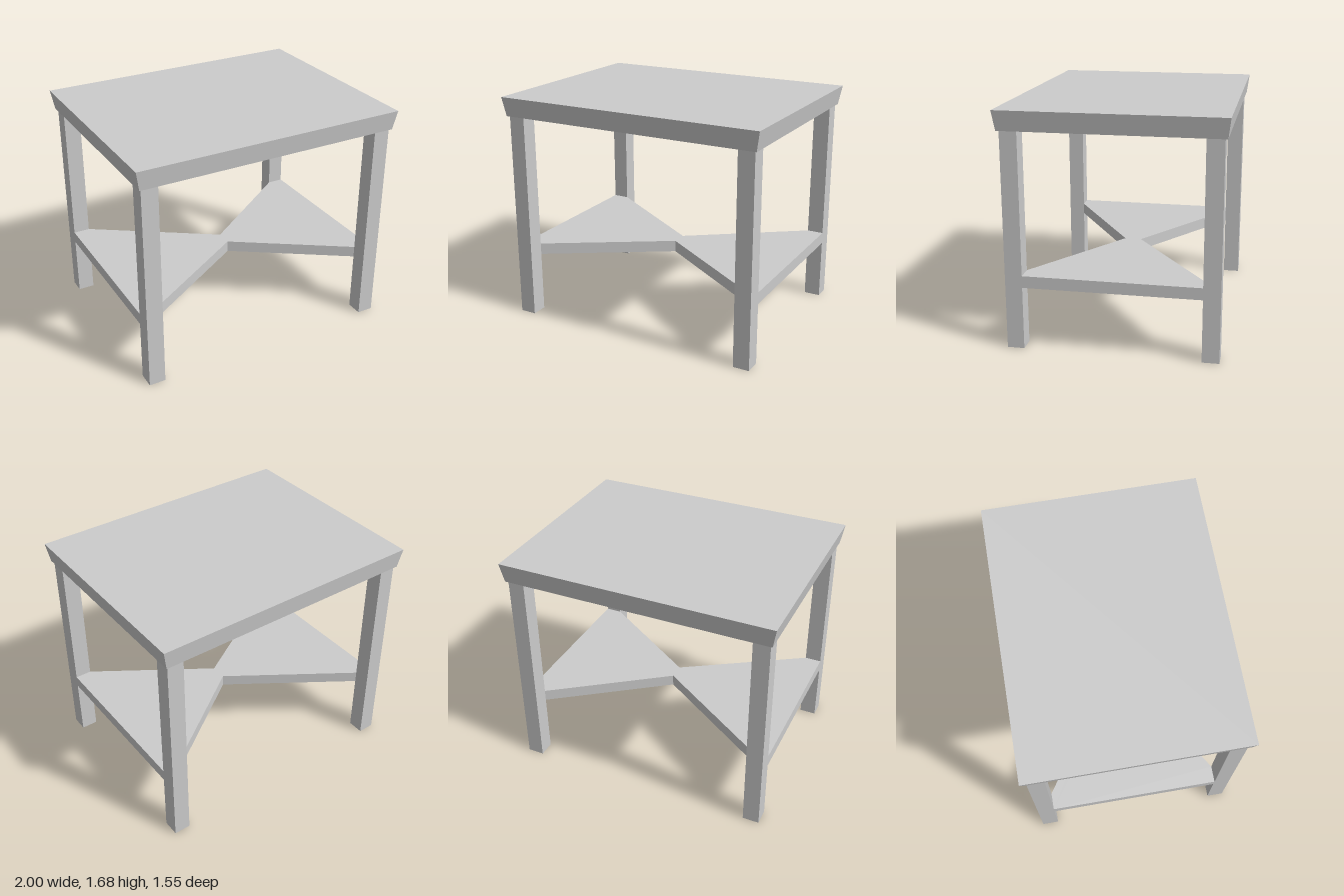
import * as THREE from 'three';

const material = new THREE.MeshStandardMaterial({ color: 0xcccccc, flatShading: true });

function part(name, geometry, x, y, z) {
  const mesh = new THREE.Mesh(geometry, material);
  mesh.name = name;
  mesh.position.set(x, y, z);
  return mesh;
}

// Slab whose underside is slightly smaller than its top face
function makeTop() {
  const geometry = new THREE.BoxGeometry(2, 0.14, 1.55);
  const pos = geometry.attributes.position;
  for (let i = 0; i < pos.count; i++) {
    if (pos.getY(i) < 0) {
      pos.setX(i, pos.getX(i) - Math.sign(pos.getX(i)) * 0.025);
      pos.setZ(i, pos.getZ(i) - Math.sign(pos.getZ(i)) * 0.018);
    }
  }
  geometry.computeVertexNormals();
  return geometry;
}

// Bow-tie outline in x and z, pinched near the middle, ending on the leg faces
function makeShelf() {
  const outline = [
    [-0.96, -0.62], [-0.84, -0.62], [0.03, -0.04], [0.84, -0.62], [0.96, -0.62],
    [0.96, 0.62], [0.84, 0.62], [0.03, 0.08], [-0.84, 0.62], [-0.96, 0.62],
  ];
  const shape = new THREE.Shape(outline.map(([x, z]) => new THREE.Vector2(x, z)));
  const geometry = new THREE.ExtrudeGeometry(shape, { depth: 0.085, bevelEnabled: false });
  return geometry.rotateX(Math.PI / 2);
}

export function createModel() {
  const table = new THREE.Group();
  table.name = 'sideTable';

  table.add(part('tableTop', makeTop(), 0, 1.61, 0));
  table.add(part('lowerShelf', makeShelf(), 0, 0.535, 0));

  // Four square legs
  const leg = new THREE.BoxGeometry(0.12, 1.54, 0.12);
  for (const [side, x] of [['Left', 0.9], ['Right', -0.9]]) {
    for (const [end, z] of [['front', 0.68], ['back', -0.68]]) {
      table.add(part(`${end}${side}Leg`, leg, x, 0.77, z));
    }
  }
  return table;
}
